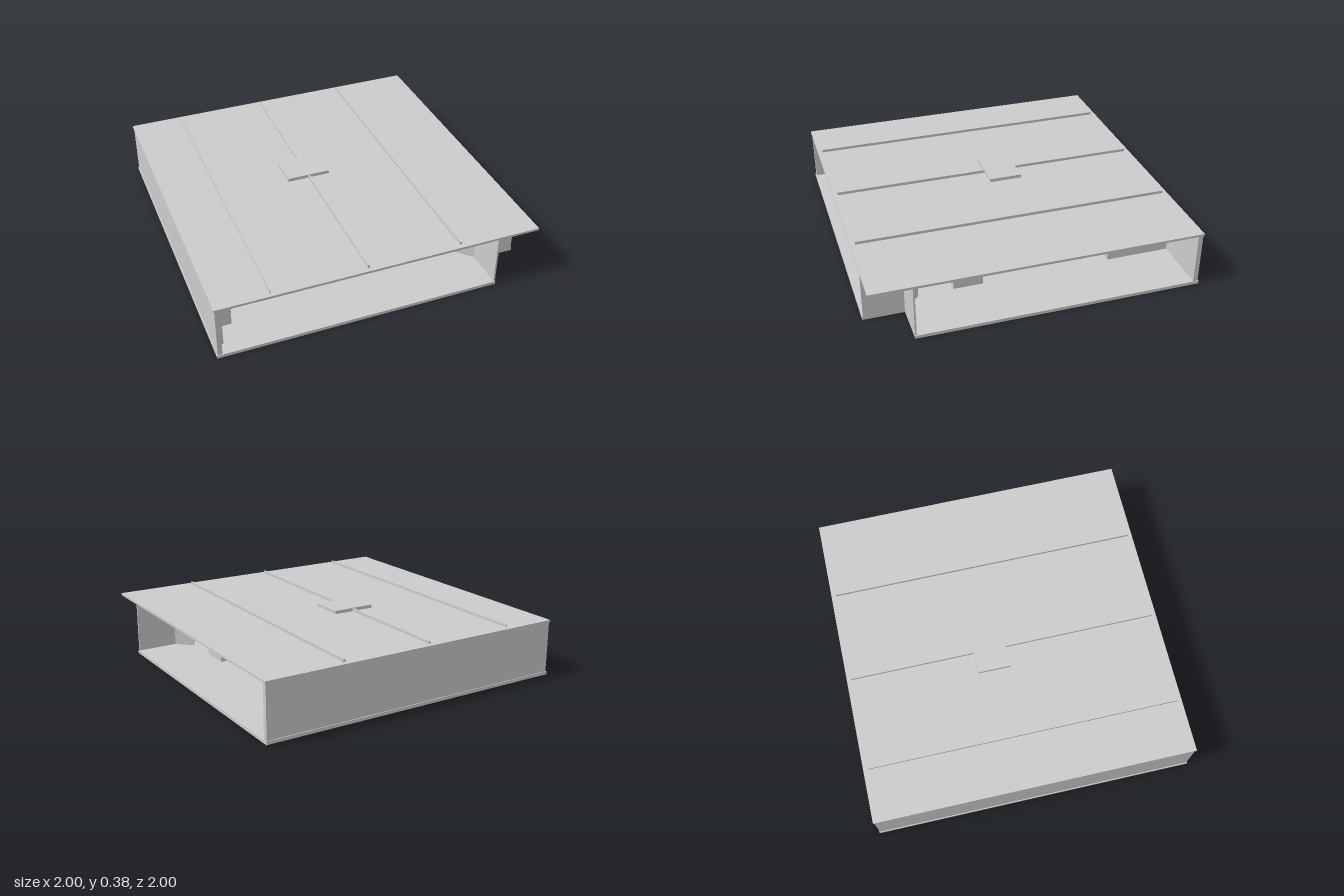
import * as THREE from 'three';

const grey = new THREE.MeshStandardMaterial({ color: 0xcccccc });
grey.name = 'plainGrey';

const FLOOR = 0.02, CEILING = 0.34;

export function createModel() {
  const model = new THREE.Group();
  model.name = 'openPlanFlat';

  const add = (name, geometry) => {
    const mesh = new THREE.Mesh(geometry, grey);
    mesh.name = name;
    model.add(mesh);
    return mesh;
  };
  // box given by its extents on each axis
  const box = (name, x0, x1, y0, y1, z0, z1) => {
    const mesh = add(name, new THREE.BoxGeometry(x1 - x0, y1 - y0, z1 - z0));
    mesh.position.set((x0 + x1) / 2, (y0 + y1) / 2, (z0 + z1) / 2);
    return mesh;
  };
  const wall = (name, x0, x1, z0, z1) => box(name, x0, x1, FLOOR, CEILING, z0, z1);

  // floor slab with a corner notch and a stairwell hole
  const points = (list) => list.map(([x, z]) => new THREE.Vector2(x, z));
  const plan = new THREE.Shape(points([[-1, -1], [1, -1], [1, 0.75], [0.745, 0.75], [0.745, 1], [-1, 1]]));
  plan.holes.push(new THREE.Path(points([[-0.5, -0.91], [-0.5, -0.61], [0.17, -0.61], [0.17, -0.91]])));
  const slab = new THREE.ExtrudeGeometry(plan, { depth: FLOOR, bevelEnabled: false });
  slab.rotateX(Math.PI / 2).translate(0, FLOOR, 0);
  add('floor', slab);

  // roof, ridges and hatch
  box('roof', -1, 1, CEILING, 0.355, -1, 1);
  for (const [x, w] of [[-0.67, 0.006], [-0.085, 0.012], [0.495, 0.012]]) {
    box('roofRidge', x - w / 2, x + w / 2, 0.355, 0.373, -0.97, 0.97);
  }
  box('roofHatch', -0.225, 0.05, 0.355, 0.376, -0.19, 0.015);

  // outer walls
  wall('backWall', -0.995, 0.995, -0.995, -0.966);
  wall('sideWall', -0.995, -0.968, -0.966, 0.995);

  // entrance alcove and its angled door
  wall('alcoveSideWall', 0.735, 0.745, 0.74, 0.995);
  wall('alcoveBackWall', 0.745, 0.995, 0.74, 0.75);
  const door = add('angledDoor', new THREE.BoxGeometry(0.135, CEILING - FLOOR, 0.008));
  door.position.set(0.688, (FLOOR + CEILING) / 2, 0.696);
  door.rotation.y = -Math.PI / 4;

  // core walls, with a doorway in the front and one in the side
  wall('coreFrontWall', -0.575, -0.175, 0.483, 0.495);
  wall('coreFrontWall', 0.09, 0.492, 0.483, 0.495);
  box('frontDoorHeader', -0.175, 0.09, 0.275, CEILING, 0.483, 0.495);
  wall('coreSideWall', 0.48, 0.492, 0.1, 0.483);
  wall('coreSideWall', 0.48, 0.492, -0.565, -0.17);
  box('sideDoorHeader', 0.48, 0.492, 0.275, CEILING, -0.17, 0.1);
  wall('coreFarWall', -0.575, -0.56, -0.966, 0.483);
  wall('stairWall', -0.56, 0.63, -0.577, -0.565);
  wall('stairEndWall', 0.618, 0.63, -0.966, -0.577);

  // furniture inside the core
  box('corePost', -0.12, -0.09, FLOOR, 0.275, -0.14, 0.1);
  for (const y of [0.076, 0.266]) box('coreShelf', -0.09, -0.03, y, y + 0.008, -0.14, 0.1);
  box('coreCabinet', 0, 0.09, FLOOR, 0.22, -0.45, -0.3);

  // cupboards and shelves in the open rooms
  wall('wallPanel', -0.968, -0.94, 0.5, 0.92);
  box('lowCupboard', -0.94, -0.85, FLOOR, 0.135, 0.62, 0.78);
  box('lowCupboardTop', -0.94, -0.843, 0.135, 0.14, 0.615, 0.785);
  box('sideChest', 0.54, 0.64, FLOOR, 0.125, 0.245, 0.43);
  for (const y of [0.264, 0.304]) box('entryShelf', 0.492, 0.61, y, y + 0.005, 0.495, 0.64);
  box('wallRail', -0.94, -0.93, 0.074, 0.085, 0.5, 0.62);
  box('wallHook', -0.915, -0.905, 0.305, 0.315, -0.966, -0.9);

  return model;
}
